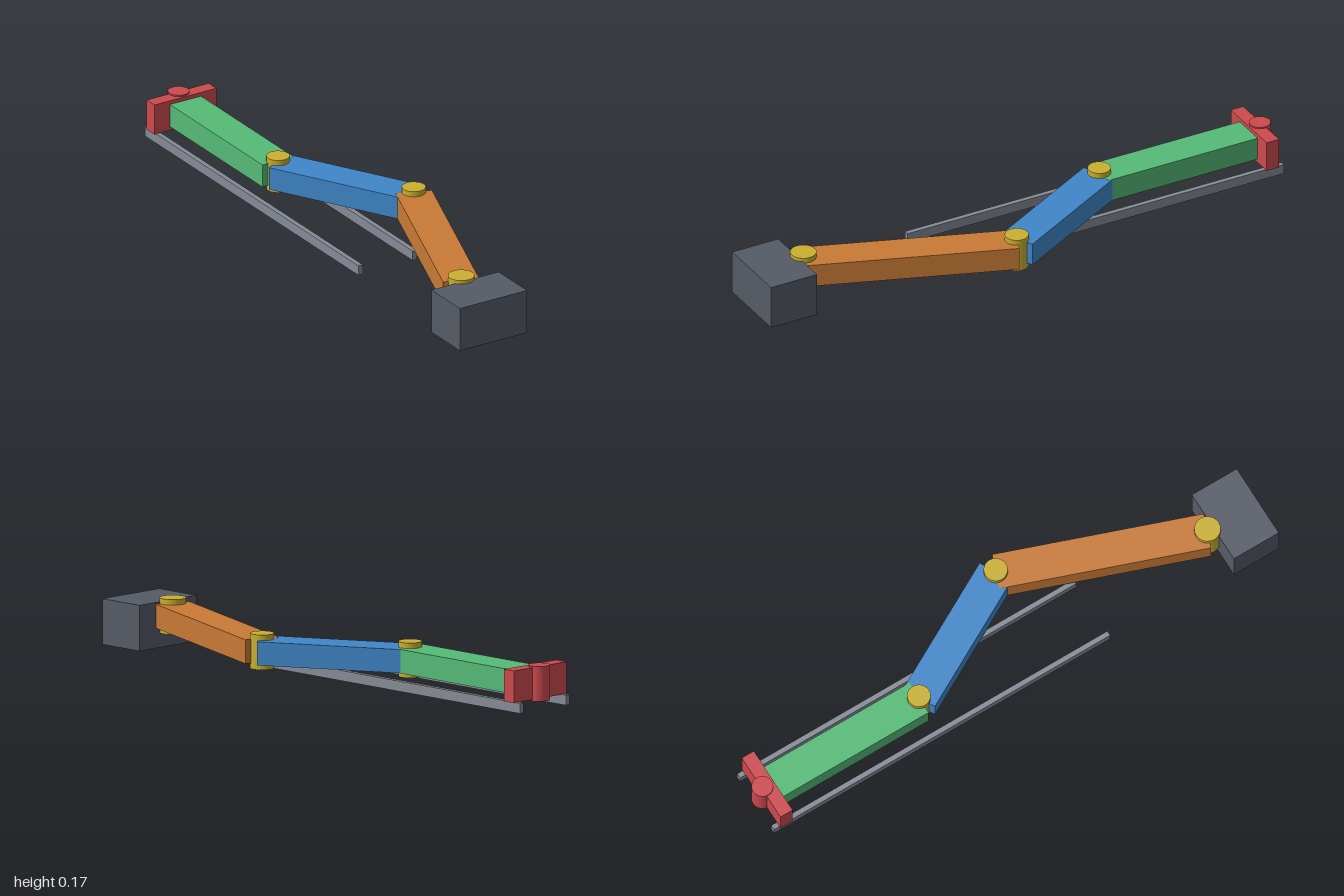
import * as THREE from 'three';

const mat = (name, color) => {
  const m = new THREE.MeshStandardMaterial({ color });
  m.name = name;
  return m;
};

export function createModel() {
  const group = new THREE.Group();
  group.name = 'linkageArm';

  const slate = mat('slate', 0x555b66);
  const steel = mat('steel', 0x858b96);
  const orange = mat('orange', 0xc87a35);
  const blue = mat('blue', 0x3f86c9);
  const green = mat('green', 0x55bb77);
  const red = mat('red', 0xcc4a4e);
  const brass = mat('brass', 0xc9b030);

  const add = (name, geometry, material, x, y, z) => {
    const mesh = new THREE.Mesh(geometry, material);
    mesh.name = name;
    mesh.position.set(x, y, z);
    group.add(mesh);
    return mesh;
  };

  // Joint positions in plan, as (x, z)
  const axisX = -0.088;
  const shoulder = new THREE.Vector2(axisX, 0.8);
  const elbow = new THREE.Vector2(0.162, 0.115);
  const wrist = new THREE.Vector2(axisX, -0.343);
  const tip = new THREE.Vector2(axisX, -0.962);
  const midY = 0.11;

  // Base block
  add('baseBlock', new THREE.BoxGeometry(0.27, 0.157, 0.178), slate, axisX + 0.001, 0.0785, 0.911);

  // Square-ended bar running from joint to joint
  const link = (name, from, to, material, height) => {
    const d = to.clone().sub(from);
    const bar = add(name, new THREE.BoxGeometry(0.125, height, d.length()), material,
      (from.x + to.x) / 2, midY, (from.y + to.y) / 2);
    bar.rotation.y = Math.atan2(d.x, d.y);
  };
  link('lowerLink', shoulder, elbow, orange, 0.082);
  link('middleLink', elbow, wrist, blue, 0.081);
  link('sliderLink', wrist, tip, green, 0.082);

  // Pivot pins pass right through the links
  [['shoulderPin', shoulder, 0.045], ['elbowPin', elbow, 0.041], ['wristPin', wrist, 0.04]]
    .forEach(([name, p, r]) => add(name, new THREE.CylinderGeometry(r, r, 0.12, 20), brass, p.x, midY, p.y));

  // End plate with its round nose
  add('endPlate', new THREE.BoxGeometry(0.249, 0.11, 0.048), red, axisX, midY, -0.944);
  add('endNose', new THREE.CylinderGeometry(0.037, 0.037, 0.12, 20), red, axisX, midY, -0.963);

  // Pair of guide rails
  for (const side of [-1, 1]) {
    add(side > 0 ? 'leftRail' : 'rightRail', new THREE.BoxGeometry(0.018, 0.035, 1.332), steel,
      axisX + side * 0.109, 0.0385, -0.324);
  }

  return group;
}
